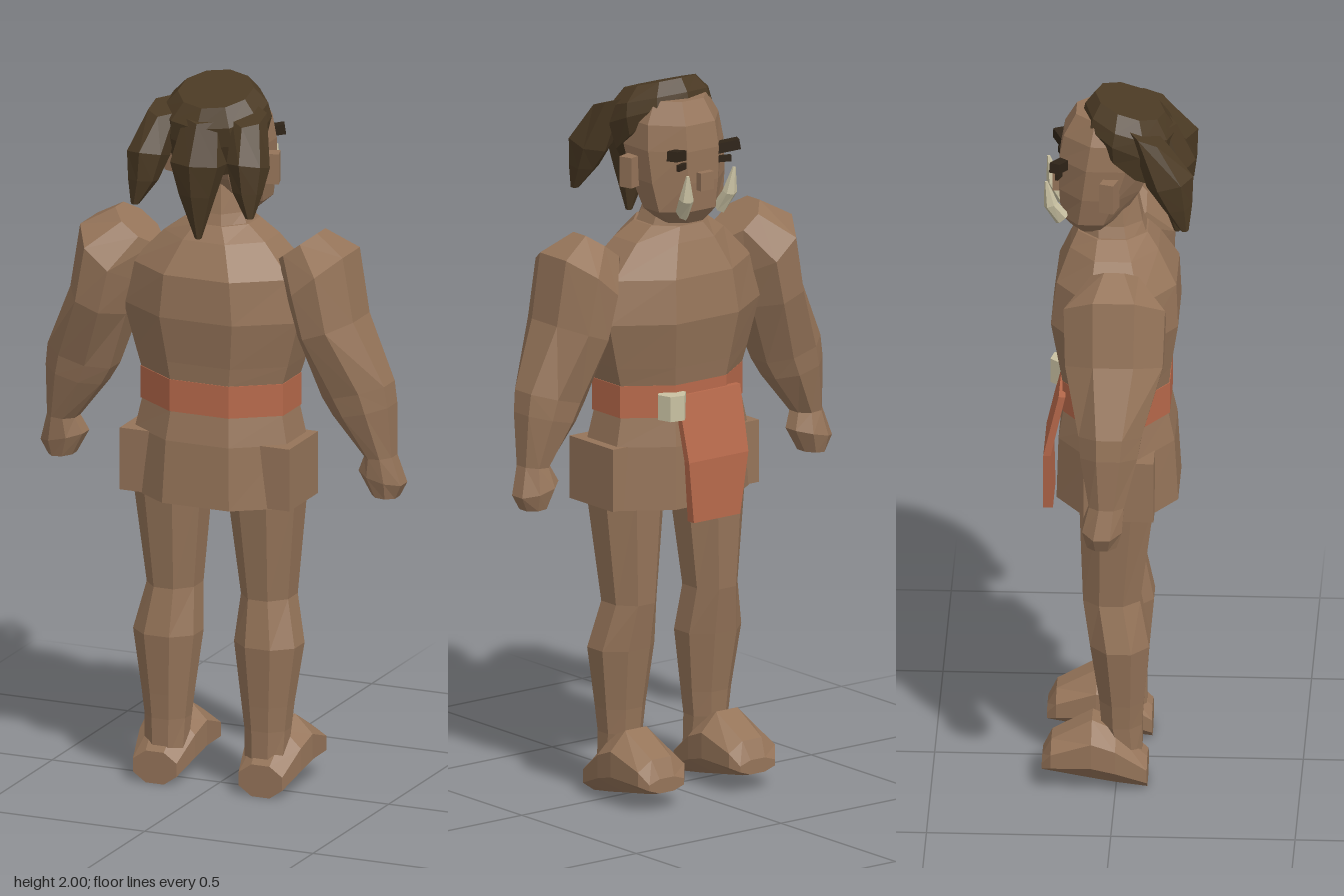
import * as THREE from 'three';

const mat = (name, color, side = THREE.FrontSide) => {
  const m = new THREE.MeshStandardMaterial({ color, flatShading: true, side });
  m.name = name;
  return m;
};

// A ring is { c: centre, u: half axis, v: half axis }.
const ring = (c, u, v) => ({ c, u, v });
// Ring through two points in the xy plane, with a z range.
const xyRing = (ax, ay, bx, by, z0, z1) =>
  ring([(ax + bx) / 2, (ay + by) / 2, (z0 + z1) / 2], [(bx - ax) / 2, (by - ay) / 2, 0], [0, 0, (z1 - z0) / 2]);
// Ring through two points in the yz plane, with a half width in x.
const yzRing = (x, hx, z0, y0, z1, y1) =>
  ring([x, (y0 + y1) / 2, (z0 + z1) / 2], [hx, 0, 0], [0, (y1 - y0) / 2, (z1 - z0) / 2]);

// Closed faceted skin over a row of rings.
function loft(rings, sides = 8) {
  const k = 1 / Math.cos(Math.PI / sides);
  const pos = [], index = [];
  for (const { c, u, v } of rings)
    for (let i = 0; i < sides; i++) {
      const t = ((i + 0.5) / sides) * Math.PI * 2;
      for (let a = 0; a < 3; a++) pos.push(c[a] + k * (u[a] * Math.cos(t) + v[a] * Math.sin(t)));
    }
  for (let r = 0; r < rings.length - 1; r++)
    for (let i = 0; i < sides; i++) {
      const a = r * sides + i, b = r * sides + (i + 1) % sides;
      index.push(a, a + sides, b, b, a + sides, b + sides);
    }
  const last = (rings.length - 1) * sides;
  for (let i = 1; i < sides - 1; i++) {
    index.push(0, i, i + 1);
    index.push(last, last + i + 1, last + i);
  }
  // Turn the faces outward whichever way the rings run.
  const p = (i) => new THREE.Vector3(pos[i * 3], pos[i * 3 + 1] - rings[0].c[1], pos[i * 3 + 2]);
  let volume = 0;
  for (let i = 0; i < index.length; i += 3) volume += p(index[i]).dot(p(index[i + 1]).cross(p(index[i + 2])));
  if (volume < 0) index.reverse();
  const g = new THREE.BufferGeometry();
  g.setAttribute('position', new THREE.Float32BufferAttribute(pos, 3));
  g.setIndex(index);
  const flat = g.toNonIndexed();
  flat.computeVertexNormals();
  return flat;
}

export function createModel() {
  const group = new THREE.Group();
  const skin = mat('skin', 0x957459);
  const hair = mat('darkHair', 0x4b3a24);
  const cloth = mat('rustCloth', 0xb7694b);
  const bone = mat('bone', 0xc9c1a2);
  const dark = mat('darkBrow', 0x2f2418);

  const add = (name, geo, m) => {
    const mesh = new THREE.Mesh(geo, m);
    mesh.name = name;
    group.add(mesh);
    return mesh;
  };
  const box = (name, w, h, d, x, y, z, m) => {
    const mesh = add(name, new THREE.BoxGeometry(w, h, d), m);
    mesh.position.set(x, y, z);
    return mesh;
  };
  const level = ([y, hx, z0, z1], x = 0) => xyRing(x - hx, y, x + hx, y, z0, z1);

  // Torso, belt and hips
  add('chest', loft([
    [1.17, 0.21, -0.15, 0.14], [1.22, 0.225, -0.158, 0.145], [1.35, 0.26, -0.18, 0.165],
    [1.47, 0.235, -0.165, 0.16], [1.56, 0.15, -0.13, 0.11], [1.6, 0.095, -0.11, 0.08],
  ].map((r) => level(r))), skin);
  add('belt', loft([[1.08, 0.212, -0.15, 0.142], [1.17, 0.212, -0.15, 0.142]].map((r) => level(r))), cloth);
  add('hips', loft([
    [0.825, 0.24, -0.165, 0.165], [1.0, 0.225, -0.16, 0.155], [1.08, 0.208, -0.147, 0.138],
  ].map((r) => level(r))), skin);
  add('neck', loft([
    [1.57, 0.1, -0.11, 0.085], [1.63, 0.075, -0.1, 0.065], [1.71, 0.06, -0.08, 0.05],
  ].map((r) => level(r))), skin);

  // Head, lofted upward from the chin
  add('head', loft([
    [1.61, 0.065, -0.125, -0.02], [1.65, 0.11, -0.155, 0.01], [1.73, 0.125, -0.16, 0.06],
    [1.82, 0.13, -0.16, 0.1], [1.89, 0.122, -0.148, 0.11], [1.95, 0.09, -0.115, 0.07],
  ].map((r) => level(r))), skin);
  box('nose', 0.045, 0.05, 0.03, 0, 1.735, -0.165, skin);

  // Hair cap, tilted toward the back, and three locks
  add('hairCap', loft([
    yzRing(0, 0.135, -0.07, 1.9, 0.11, 1.75), yzRing(0, 0.148, -0.092, 1.935, 0.145, 1.84),
    yzRing(0, 0.14, -0.085, 1.965, 0.152, 1.895), yzRing(0, 0.1, -0.06, 2.0, 0.12, 1.945),
  ], 10), hair);
  add('backLock', loft([
    yzRing(0, 0.05, 0.06, 1.93, 0.15, 1.91), yzRing(0, 0.07, 0.09, 1.79, 0.2, 1.8),
    yzRing(0, 0.045, 0.115, 1.7, 0.19, 1.71), yzRing(0.005, 0.008, 0.15, 1.585, 0.165, 1.585),
  ], 6), hair);

  for (const s of [1, -1]) {
    const side = s > 0 ? 'left' : 'right';

    add(side + 'Lock', loft([
      yzRing(s * 0.125, 0.04, 0.04, 1.94, 0.13, 1.91), yzRing(s * 0.148, 0.05, 0.09, 1.79, 0.2, 1.82),
      yzRing(s * 0.155, 0.036, 0.13, 1.73, 0.2, 1.74), yzRing(s * 0.17, 0.01, 0.175, 1.67, 0.195, 1.67),
    ], 6), hair);

    // Face details
    box(side + 'Ear', 0.05, 0.085, 0.04, s * 0.14, 1.755, -0.02, skin).rotation.y = s * 0.3;
    const brow = box(side + 'Brow', 0.085, 0.028, 0.03, s * 0.078, 1.815, -0.152, dark);
    brow.rotation.set(0, s * 0.45, s * 0.15);
    box(side + 'Eye', 0.045, 0.018, 0.009, s * 0.07, 1.783, -0.158, dark).rotation.y = s * 0.35;
    add(side + 'Tusk', loft([
      yzRing(s * 0.065, 0.015, -0.165, 1.635, -0.135, 1.66),
      yzRing(s * 0.075, 0.018, -0.198, 1.69, -0.165, 1.7),
      yzRing(s * 0.08, 0.004, -0.198, 1.765, -0.19, 1.765),
    ], 6), bone);

    // Arm, shoulder to fist, each ring from inner to outer edge
    add(side + 'Arm', loft([
      [0.18, 1.51, 0.3, 1.6, -0.065, 0.065],
      [0.225, 1.41, 0.39, 1.55, -0.135, 0.14],
      [0.255, 1.31, 0.42, 1.37, -0.13, 0.135],
      [0.315, 1.14, 0.5, 1.19, -0.09, 0.08],
      [0.345, 1.09, 0.508, 1.13, -0.085, 0.07],
      [0.43, 0.98, 0.512, 0.985, -0.06, 0.035],
      [0.41, 0.935, 0.535, 0.905, -0.078, 0.03],
      [0.445, 0.87, 0.515, 0.865, -0.065, 0.015],
    ].map(([ax, ay, bx, by, z0, z1]) => xyRing(s * ax, ay, s * bx, by, z0, z1))), skin);

    // Leg, with a slight knee and calf
    add(side + 'Leg', loft([
      [0.07, 0.056, -0.01, 0.07, 0.148], [0.18, 0.06, -0.04, 0.07, 0.148], [0.25, 0.068, -0.045, 0.075, 0.148],
      [0.42, 0.09, -0.07, 0.09, 0.15], [0.55, 0.07, -0.09, 0.065, 0.14], [0.86, 0.102, -0.1, 0.105, 0.14],
    ].map((r) => level(r, s * r[4]))), skin);

    // Foot, heel to toe: z, bottom, top, half width
    add(side + 'Foot', loft([
      [0.085, 0, 0.09, 0.065], [0, 0.014, 0.17, 0.082], [-0.065, 0.026, 0.2, 0.088],
      [-0.175, 0.044, 0.14, 0.08], [-0.2, 0.05, 0.09, 0.06],
    ].map(([z, y0, y1, hx]) =>
      ring([s * 0.157, (y0 + y1) / 2, z], [hx, 0, 0], [0, (y1 - y0) / 2, 0]))), skin);

    box(side + 'HipPlate', 0.09, 0.175, 0.19, s * 0.207, 0.915, 0.01, skin);
  }

  // Hanging cloth, bent at the middle
  add('loincloth', loft([
    [1.14, -0.13, 0.085, -0.158, -0.14], [0.96, -0.125, 0.08, -0.2, -0.18], [0.79, -0.095, 0.065, -0.202, -0.175],
  ].map(([y, x0, x1, z0, z1]) => xyRing(x0, y, x1, y, z0, z1).c && ring(
    [(x0 + x1) / 2, y, (z0 + z1) / 2], [(x1 - x0) / 4, 0, (z1 - z0) / 4], [(x1 - x0) / 4, 0, -(z1 - z0) / 4],
  )).map(({ c, u }) => ring(c, [u[0] * 2, 0, 0], [0, 0, u[2] * 2])), 4), cloth);

  // Bone clasp on the belt
  const clasp = add('beltClasp', new THREE.CylinderGeometry(0.042, 0.042, 0.07, 6), bone);
  clasp.position.set(0.1, 1.115, -0.15);
  clasp.rotation.y = 0.3;

  return group;
}
